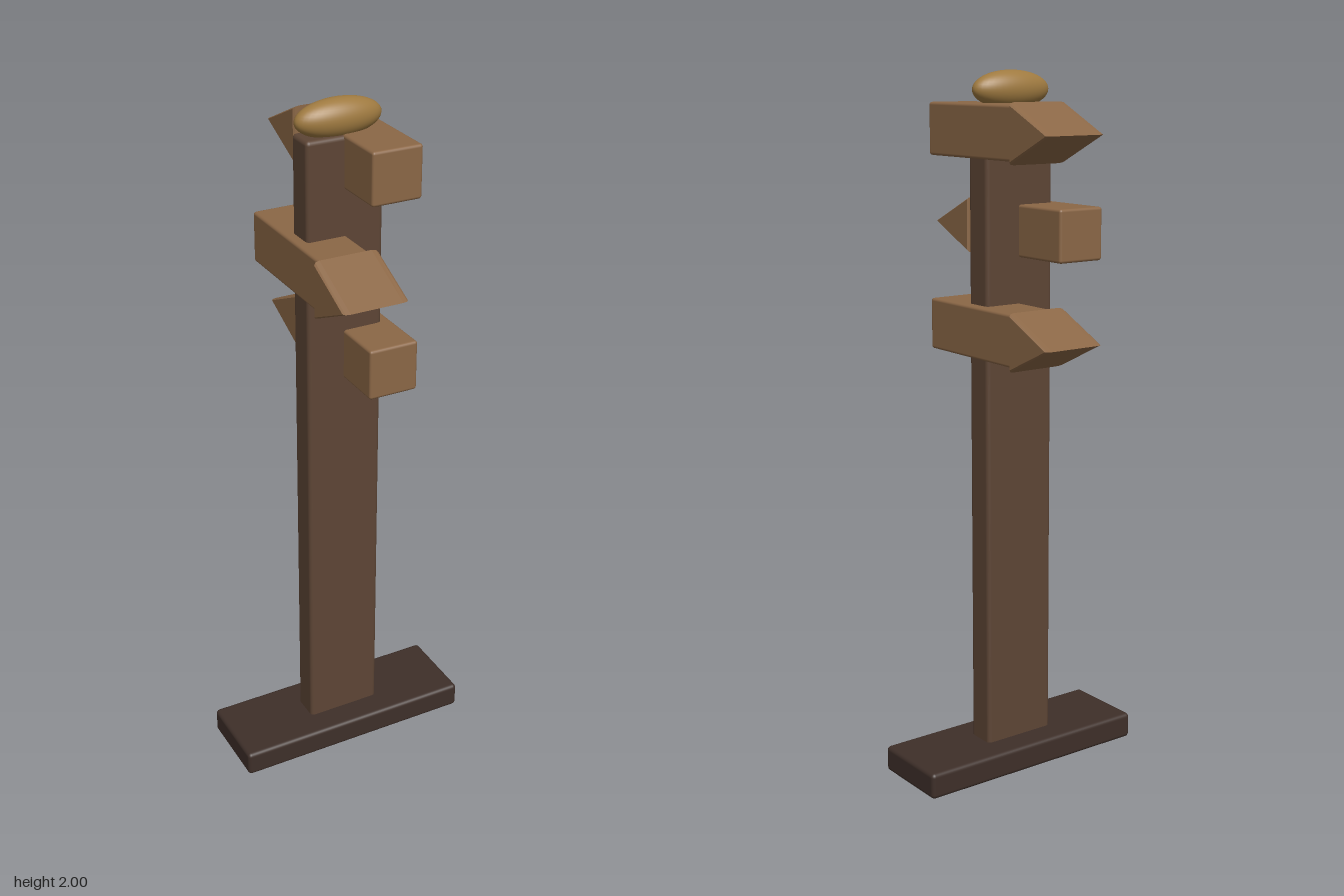
import * as THREE from 'three';
import { RoundedBoxGeometry } from 'three/addons/geometries/RoundedBoxGeometry.js';

const POST_Z = 0.0175;
const paint = (color) => new THREE.MeshStandardMaterial({ color });
const darkWood = paint(0x3e2f29);
const postWood = paint(0x5d4535);
const boardWood = paint(0x8b6746);
const gold = paint(0x9f7a40);

function part(name, geometry, material, x, y, z) {
  const mesh = new THREE.Mesh(geometry, material);
  mesh.name = name;
  mesh.position.set(x, y, z);
  return mesh;
}

// Triangular arrow head pointing to +z, bevelled on its two flat sides
function arrowHeadGeometry() {
  const shape = new THREE.Shape();
  shape.moveTo(-0.19, -0.08);
  shape.lineTo(-0.19, 0.08);
  shape.lineTo(-0.358, 0);
  shape.closePath();
  const geometry = new THREE.ExtrudeGeometry(shape, {
    depth: 0.149, bevelThickness: 0.018, bevelSize: 0.007, bevelOffset: -0.007, bevelSegments: 2,
  });
  geometry.translate(0, 0, -0.0745);
  geometry.rotateY(Math.PI / 2);
  return geometry;
}

// Board with its arrow head, on the -x side and pointing to +z
function sign() {
  const group = new THREE.Group();
  group.name = 'sign';
  group.add(
    part('board', new RoundedBoxGeometry(0.145, 0.145, 0.4, 2, 0.008), boardWood, -0.0685, 0, -0.01),
    part('arrowHead', arrowHeadGeometry(), boardWood, -0.0685, 0, 0),
  );
  return group;
}

// Slanted peg between the post face and the side of a board
function peg() {
  const start = new THREE.Vector3(0.022, -0.063, 0.03);
  const end = new THREE.Vector3(-0.008, -0.032, 0.096);
  const axis = end.clone().sub(start);
  const mesh = part('peg', new THREE.CylinderGeometry(0.014, 0.014, axis.length(), 16), darkWood, 0, 0, 0);
  mesh.position.copy(start).add(end).multiplyScalar(0.5);
  mesh.quaternion.setFromUnitVectors(new THREE.Vector3(0, 1, 0), axis.normalize());
  const group = new THREE.Group();
  group.name = 'signPeg';
  group.add(mesh);
  return group;
}

export function createModel() {
  const model = new THREE.Group();
  model.name = 'signpost';

  model.add(
    part('base', new RoundedBoxGeometry(0.724, 0.076, 0.246, 3, 0.012), darkWood, 0, 0.038, POST_Z),
    part('post', new RoundedBoxGeometry(0.224, 1.86, 0.086, 3, 0.012), postWood, 0, 0.98, POST_Z),
  );

  // Flattened finial on the post
  const finial = part('finial', new THREE.SphereGeometry(1, 40, 24), gold, 0, 1.948, POST_Z);
  finial.scale.set(0.124, 0.052, 0.048);
  model.add(finial);

  // Signs alternate between pointing back and forward
  [[1.84, Math.PI], [1.567, 0], [1.294, Math.PI]].forEach(([y, turn]) => {
    const board = sign();
    board.position.y = y;
    board.rotation.y = turn;
    const pin = peg();
    pin.position.set(0, y, POST_Z);
    pin.rotation.y = turn;
    model.add(board, pin);
  });

  return model;
}
